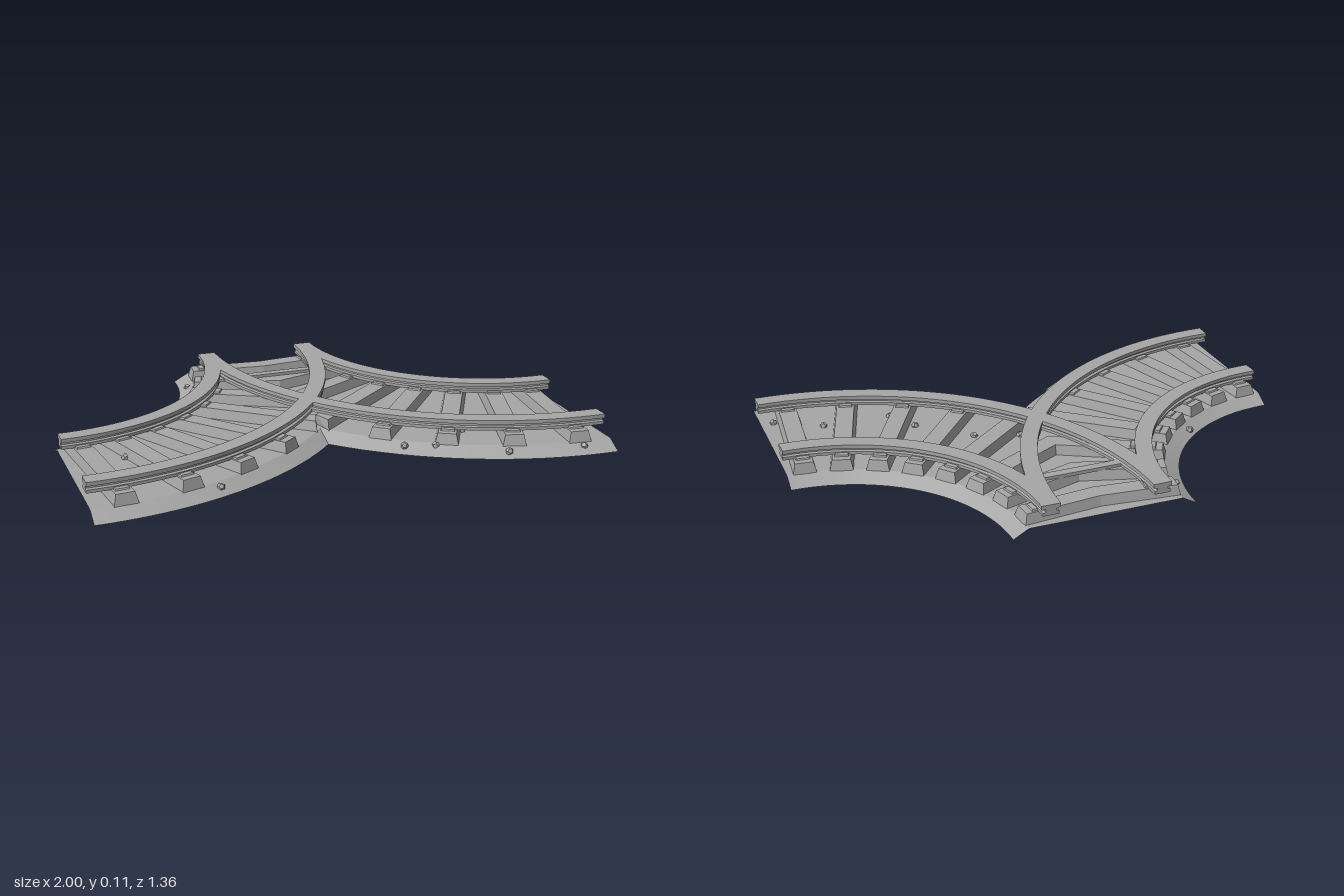
import * as THREE from 'three';

const CX = -1, CZ = -0.68;           // centre of the left track's curve
const HALF_PI = Math.PI / 2;
const stone = new THREE.MeshStandardMaterial({ color: 0xa6a6a6, side: THREE.DoubleSide });
stone.name = 'grey';

// point on the curve: radius r, height y, angle t, sideways offset u
const at = (r, y, t, u = 0) => [
  CX + r * Math.sin(t) + u * Math.cos(t), y, CZ + r * Math.cos(t) - u * Math.sin(t)];

function build(points, index) {
  const g = new THREE.BufferGeometry();
  g.setAttribute('position', new THREE.Float32BufferAttribute(points, 3));
  g.setIndex(index);
  const flat = g.toNonIndexed();
  flat.computeVertexNormals();
  return flat;
}

// same geometry on the other side of x = 0, with the corner order reversed
function mirrored(g) {
  const p = g.attributes.position, pts = [], idx = [];
  for (let i = 0; i < p.count; i++) pts.push(-p.getX(i), p.getY(i), p.getZ(i));
  for (let i = 0; i < p.count; i += 3) idx.push(i, i + 2, i + 1);
  return build(pts, idx);
}

// closed counter-clockwise profile of [r, y] swept through the quarter turn
function sweep(profile, steps = 36) {
  const n = profile.length, pts = [], idx = [];
  for (let j = 0; j <= steps; j++)
    for (const [r, y] of profile) pts.push(...at(r, y, (j / steps) * HALF_PI));
  for (let j = 0; j < steps; j++)
    for (let i = 0; i < n; i++) {
      const a = j * n + i, b = j * n + (i + 1) % n;
      idx.push(a, a + n, b, b, a + n, b + n);
    }
  const caps = THREE.ShapeUtils.triangulateShape(profile.map(p => new THREE.Vector2(...p)), []);
  for (const [a, b, c] of caps) {
    idx.push(a, b, c);
    idx.push(steps * n + a, steps * n + c, steps * n + b);
  }
  return build(pts, idx);
}

// hollow gravel bed, cut off where the two curves meet at x = 0
function bedGeometry() {
  const prof = [[0.64, 0.003], [0.70, 0.036], [1.295, 0.036], [1.357, 0.003]];
  const angles = [Math.asin(1 / 1.357), Math.asin(1 / 1.295)];
  for (let j = 0; j <= 36; j++) angles.push((j / 36) * HALF_PI);
  angles.sort((a, b) => a - b);
  const pts = [], idx = [];
  for (const t of angles) {
    const cut = 1 / Math.max(Math.sin(t), 1e-6);
    for (const [r, y] of prof) {
      let h = y;
      if (r > cut) h = 0.036 - 0.033 * Math.max(0, (cut - 1.295) / 0.062);
      pts.push(...at(Math.min(r, cut), h, t));
    }
  }
  for (let j = 0; j < angles.length - 1; j++)
    for (let i = 0; i < 3; i++) {
      const a = j * 4 + i;
      idx.push(a, a + 1, a + 4, a + 1, a + 5, a + 4);
    }
  return build(pts, idx);
}

// radial block with a chamfered top, also cut at x = 0
function radialBlock(t, r0, r1, y0, y1, width, inset) {
  const g = new THREE.BoxGeometry(1, 1, 1);
  const p = g.attributes.position;
  for (let i = 0; i < p.count; i++) {
    const top = p.getY(i) > 0, d = top ? inset : 0;
    const u = Math.sign(p.getX(i)) * (width / 2 - d);
    const cut = (1 - u * Math.cos(t)) / Math.sin(t);
    const r = p.getZ(i) > 0 ? Math.min(r1 - d, cut) : r0 + d;
    p.setXYZ(i, ...at(r, top ? y1 : y0, t, u));
  }
  const flat = g.toNonIndexed();
  flat.computeVertexNormals();
  return flat;
}

// rail section: foot, web and head
function railProfile(r) {
  const half = [[0.028, 0.073], [0.028, 0.085], [0.017, 0.088], [0.017, 0.097], [0.033, 0.1], [0.033, 0.115]];
  return [...half.map(([d, y]) => [r + d, y]), ...half.reverse().map(([d, y]) => [r - d, y])];
}

export function createModel() {
  const model = new THREE.Group();
  model.name = 'railJunction';
  const right = new THREE.Group(), left = new THREE.Group();
  right.name = 'rightTrack';
  left.name = 'leftTrack';
  model.add(right, left);

  const addPair = (geometry, name) => {
    for (const [group, g] of [[right, geometry], [left, mirrored(geometry)]]) {
      const m = new THREE.Mesh(g, stone);
      m.name = name;
      group.add(m);
    }
  };

  addPair(bedGeometry(), 'gravelBed');
  addPair(sweep(railProfile(0.78)), 'innerRail');
  addPair(sweep(railProfile(1.213)), 'outerRail');

  // eight sleepers per curve, with a plate under each rail
  for (let k = 0; k < 8; k++) {
    const t = ((k + 0.5) / 8) * HALF_PI;
    addPair(radialBlock(t, 0.695, 1.3, 0.033, 0.075, 0.09, 0.01), 'sleeper');
    addPair(radialBlock(t, 0.73, 0.83, 0.074, 0.081, 0.055, 0.003), 'railPlate');
    if (k < 4) addPair(radialBlock(t, 1.163, 1.263, 0.074, 0.081, 0.055, 0.003), 'railPlate');
  }

  // bar joining the rails at the points
  const bar = new THREE.Mesh(new THREE.BoxGeometry(0.32, 0.014, 0.035), stone);
  bar.name = 'switchBar';
  bar.position.set(0, 0.08, -0.422);
  model.add(bar);

  // loose stones: x, z, height
  const stones = [
    [0.24, 0.07, 0.04], [0.43, 0.24, 0.04], [0.5, 0.36, 0.04], [0.77, 0.37, 0.04], [0.07, 0.01, 0.04],
    [0.95, 0.47, 0.04], [0.97, 0.19, 0.04], [0.24, 0.41, 0.03], [0.35, 0.45, 0.03], [0.59, 0.585, 0.025],
    [0.88, 0.63, 0.025], [-0.52, 0.55, 0.025], [-0.78, 0.2, 0.04], [-0.59, -0.16, 0.02], [-0.34, -0.54, 0.02]];
  const pebble = new THREE.DodecahedronGeometry(0.015, 0);
  stones.forEach(([x, z, y], i) => {
    const m = new THREE.Mesh(pebble, stone);
    m.name = 'looseStone';
    m.position.set(x, y, z);
    m.rotation.set(i, i * 1.7, 0);
    model.add(m);
  });
  return model;
}
